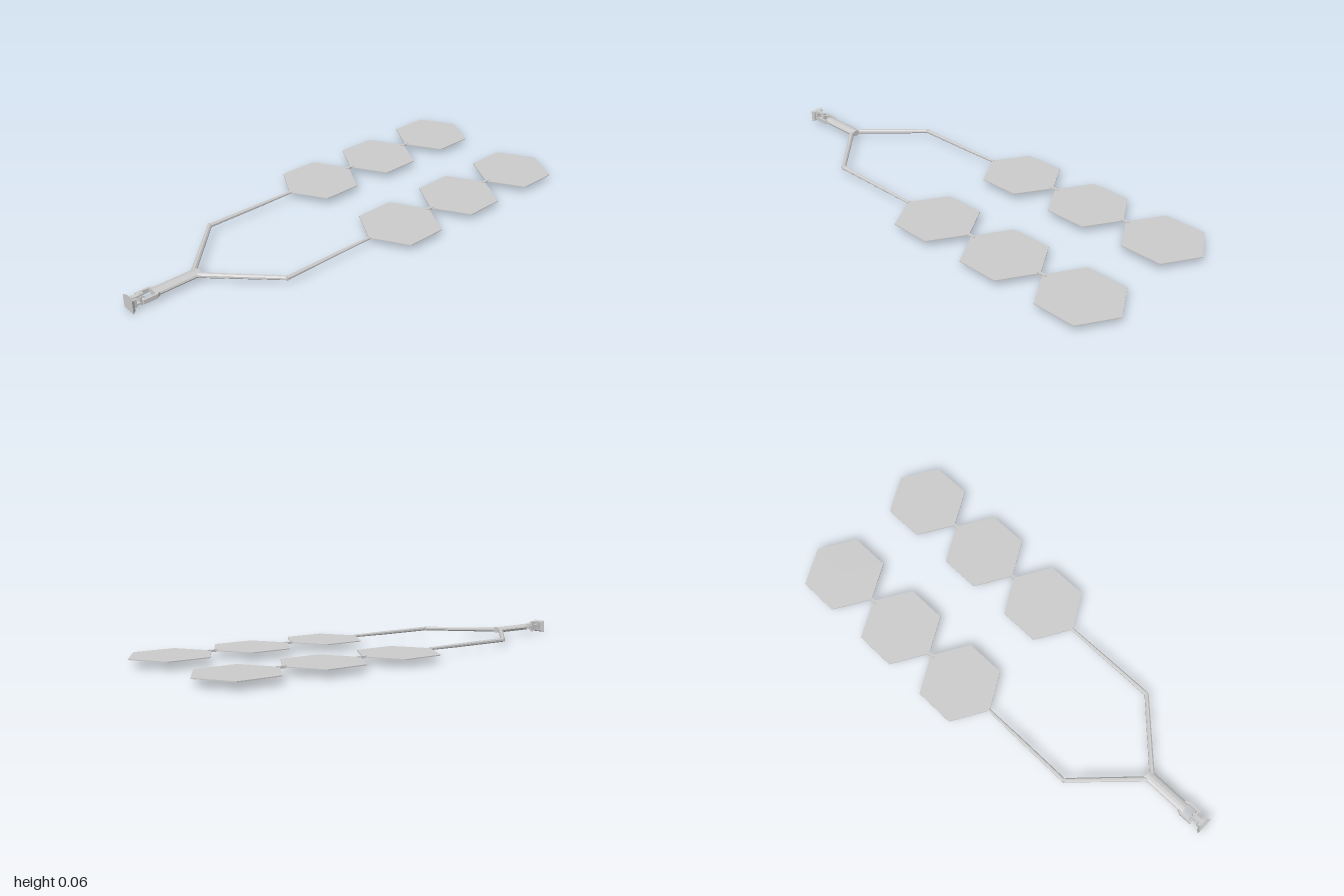
import * as THREE from 'three';

const AXIS = 0.03; // height of the array plane
const mat = new THREE.MeshStandardMaterial({ color: 0xcccccc, flatShading: true });

export function createModel() {
  const model = new THREE.Group();
  model.name = 'foldingPanelArray';

  const add = (name, geometry, x, y, z) => {
    const mesh = new THREE.Mesh(geometry, mat);
    mesh.name = name;
    mesh.position.set(x, y, z);
    model.add(mesh);
    return mesh;
  };
  const box = (name, w, h, d, x, y, z) => add(name, new THREE.BoxGeometry(w, h, d), x, y, z);

  // Tapered rod between two points in the array plane
  const rod = (name, a, b, ra, rb) => {
    const dx = b[0] - a[0], dz = b[1] - a[1];
    const g = new THREE.CylinderGeometry(rb, ra, Math.hypot(dx, dz), 8);
    g.rotateY(Math.PI / 8).rotateZ(-Math.PI / 2).rotateY(-Math.atan2(dz, dx));
    return add(name, g, (a[0] + b[0]) / 2, AXIS, (a[1] + b[1]) / 2);
  };

  // Mounting plate, flared towards the outer face
  const plate = new THREE.CylinderGeometry(0.031, 0.039, 0.012, 4);
  plate.rotateY(Math.PI / 4).rotateZ(-Math.PI / 2).scale(1, 1, 1.15);
  add('mountingPlate', plate, -0.994, 0.0275, 0);
  box('plateBoss', 0.016, 0.034, 0.034, -0.982, 0.0285, 0);

  // Universal joint: upright fork, cross pins, sideways fork
  for (const s of [-1, 1]) {
    box('uprightForkLug', 0.048, 0.007, 0.016, -0.963, AXIS + s * 0.0165, 0);
    box('sideForkLug', 0.058, 0.018, 0.009, -0.925, AXIS, s * 0.0275);
    const web = box('sideForkWeb', 0.026, 0.016, 0.009, -0.895, AXIS, s * 0.024);
    web.rotation.y = s * 0.45;
  }
  add('uprightPin', new THREE.CylinderGeometry(0.006, 0.006, 0.05, 8), -0.95, AXIS - 0.002, 0);
  const pin = add('crossPin', new THREE.CylinderGeometry(0.006, 0.006, 0.062, 8), -0.945, AXIS, 0);
  pin.rotation.x = Math.PI / 2;
  box('jointBlock', 0.02, 0.02, 0.02, -0.948, AXIS, 0);

  // Flattened boom leading to the split
  const boom = new THREE.CylinderGeometry(0.024, 0.024, 0.2, 12);
  boom.rotateZ(-Math.PI / 2).scale(1, 0.55, 1);
  add('boom', boom, -0.8, AXIS, 0);

  for (const s of [-1, 1]) {
    // Splayed arm, elbow and straight arm
    rod('splayedArm', [-0.715, s * 0.014], [-0.478, s * 0.251], 0.011, 0.009);
    add('elbow', new THREE.CylinderGeometry(0.009, 0.009, 0.015, 8), -0.478, AXIS, s * 0.251);
    rod('straightArm', [-0.478, s * 0.251], [-0.2, s * 0.25], 0.009, 0.008);
    rod('armTip', [-0.22, s * 0.25], [-0.055, s * 0.25], 0.008, 0.006);

    // Three hexagonal panels joined point to point by hinges
    for (let i = 0; i < 3; i++) {
      const hex = new THREE.CylinderGeometry(0.173, 0.173, 0.004, 6);
      hex.rotateY(Math.PI / 6 + Math.PI / 3);
      add('hexPanel', hex, 0.112 + i * 0.3575, AXIS, s * 0.25);
      if (i < 2) box('panelHinge', 0.042, 0.009, 0.011, 0.291 + i * 0.3575, AXIS, s * 0.25);
    }
  }
  return model;
}
